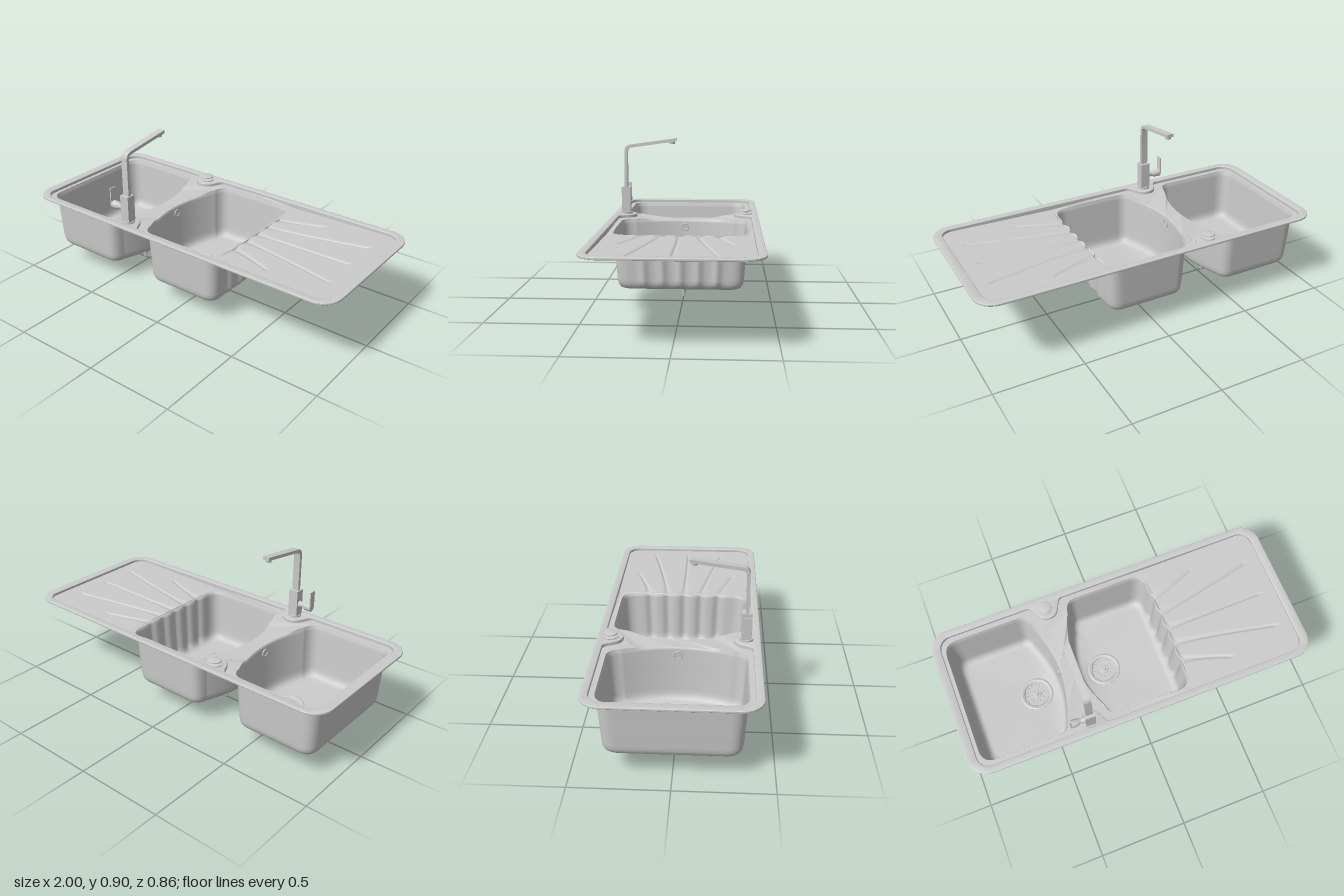
import * as THREE from 'three';
import { toCreasedNormals } from 'three/addons/utils/BufferGeometryUtils.js';

const steel = new THREE.MeshStandardMaterial({ color: 0xcccccc, side: THREE.DoubleSide });
const RIM_Y = 0.455, DECK_Y = 0.437, SPLIT = 0.3, TAP_X = -0.316;
const { smoothstep } = THREE.MathUtils;

// drainer grooves: z at the bowl, z at the tip, x of the tip
const grooves = [[0, 0, 0.88]];
for (const s of [-1, 1]) grooves.push([s * 0.1, s * 0.215, 0.88], [s * 0.205, s * 0.295, 0.57]);

// vertical flutes that carry the grooves down the bowl wall
const flute = z => grooves.reduce((sum, g) => sum + 0.014 * Math.exp(-(((z - g[0]) / 0.024) ** 2)), 0);

// height of the recessed deck: saddle between bowls, sloped drainer, grooves
function deckY(x, z) {
  let y = DECK_Y;
  y -= 0.014 * (1 - smoothstep(Math.abs(x - TAP_X), 0.06, 0.14)) * (1 - smoothstep(Math.abs(z), 0.17, 0.27));
  y -= 0.009 * smoothstep(x, 0.1, SPLIT);
  y += 0.012 * Math.max(0, (x - SPLIT) / 0.65);
  if (x > 0.26) for (const [z0, z1, tip] of grooves) {
    const t = Math.max(0, (x - 0.29) / (tip - 0.29));
    const width = 0.007 + 0.017 * Math.exp(-Math.max(0, x - 0.29) / 0.06);
    const d = (z - z0 - (z1 - z0) * Math.pow(t, 1.2)) / width;
    y -= 0.007 * Math.exp(-d * d) * (1 - smoothstep(x, tip - 0.03, tip));
  }
  return y;
}

function add(parent, name, geometry, x = 0, y = 0, z = 0) {
  const mesh = new THREE.Mesh(geometry, steel);
  mesh.name = name;
  mesh.position.set(x, y, z);
  parent.add(mesh);
  return mesh;
}

// surface through rows of [x, y, z] points
function loft(rows, closed) {
  const n = rows[0].length, index = [];
  for (let r = 0; r < rows.length - 1; r++)
    for (let i = 0; i < (closed ? n : n - 1); i++) {
      const a = r * n + i, b = r * n + (i + 1) % n;
      index.push(a, b, a + n, b, b + n, a + n);
    }
  const geo = new THREE.BufferGeometry();
  geo.setAttribute('position', new THREE.Float32BufferAttribute(rows.flat(2), 3));
  geo.setIndex(index);
  geo.computeVertexNormals();
  return geo;
}

const lathe = (pts, segs = 40) => toCreasedNormals(
  new THREE.LatheGeometry(pts.map(p => new THREE.Vector2(...p)), segs), 0.6);

function sample(path, n) {
  const pts = path.getSpacedPoints(n);
  pts.pop();
  return pts;
}

// rounded rectangle in x and z; tongues leave ledges for the tap and the knob
function roundedRect(w, h, r, tongues) {
  const s = new THREE.Shape();
  s.moveTo(w, -h + r);
  s.lineTo(w, h - r);
  s.absarc(w - r, h - r, r, 0, Math.PI / 2);
  const tongue = (dir, zs) => {
    const x = k => TAP_X + dir * k;
    s.lineTo(x(0.105), zs * h);
    s.bezierCurveTo(x(0.065), zs * h, x(0.075), zs * 0.29, x(0), zs * 0.29);
    s.bezierCurveTo(x(-0.075), zs * 0.29, x(-0.065), zs * h, x(-0.105), zs * h);
  };
  if (tongues) tongue(1, 1);
  s.absarc(-w + r, h - r, r, Math.PI / 2, Math.PI);
  s.absarc(-w + r, -h + r, r, Math.PI, Math.PI * 1.5);
  if (tongues) tongue(-1, -1);
  s.absarc(w - r, -h + r, r, Math.PI * 1.5, Math.PI * 2);
  return s;
}

// bowl opening: straight side at xs, opposite side bowed from xe out to xc
function bowlOutline(xs, xe, xc, r) {
  const H = 0.362, R = 0.07, s = Math.sign(xs - xc), p = new THREE.Path();
  p.moveTo(xs, -H + r);
  p.lineTo(xs, H - r);
  p.quadraticCurveTo(xs, H, xs - s * r, H);
  p.lineTo(xe + s * R, H);
  p.quadraticCurveTo(xe + s * 0.01, H, xe, H - R);
  p.quadraticCurveTo(2 * xc - xe, 0, xe, -H + R);
  p.quadraticCurveTo(xe + s * 0.01, -H, xe + s * R, -H);
  p.lineTo(xs - s * r, -H);
  p.quadraticCurveTo(xs, -H, xs, -H + r);
  return sample(p, 360);
}

// walls from inset and height, then a floor falling to the round drain
function bowl(outline, xs, xc, drainX, fluted) {
  const cx = (xs + xc) / 2, hx = Math.abs(xs - xc) / 2, hz = 0.362;
  const profile = [[0, null], [0.004, 0.42], [0.007, 0.41], [0.012, 0.3], [0.019, 0.18], [0.022, 0.158],
    [0.027, 0.143], [0.036, 0.131], [0.048, 0.125], [0.062, 0.123]];
  const place = (p, d, y) => {
    const bump = fluted && p.x > 0.2 ? flute(p.y) * smoothstep(y ?? 1, 0.125, 0.165) : 0;
    const x = cx + (p.x - cx) * (1 - d / hx) + bump, z = p.y * (1 - d / hz);
    return [x, y ?? deckY(x, z), z];
  };
  const rows = profile.map(([d, y]) => outline.map(p => place(p, d, y)));
  const edge = rows.at(-1);
  for (const t of [0.33, 0.66, 1]) rows.push(edge.map(([x, y, z]) => {
    const k = 0.09 / Math.hypot(x - drainX, z);
    return [x + (drainX + (x - drainX) * k - x) * t, y - 0.007 * t, z + (z * k - z) * t];
  }));
  return { geometry: loft(rows, true), top: rows[0].map(p => new THREE.Vector2(p[0], p[2])) };
}

function drain(x) {
  const g = new THREE.Group();
  g.name = 'drain';
  g.position.x = x;
  add(g, 'drainFlange', lathe([[0.097, 0.112], [0.097, 0.119], [0.088, 0.123], [0.074, 0.119], [0.07, 0.108]]));
  add(g, 'drainBody', lathe([[0.097, 0.112], [0.075, 0.112], [0.075, 0.08], [0.066, 0.07], [0.037, 0.069], [0.037, 0.062],
    [0.015, 0.059], [0.012, 0.045], [0.009, 0.02], [0.008, 0.003], [0, 0]]));
  // perforated strainer plate
  const plate = new THREE.Shape().absarc(0, 0, 0.071, 0, Math.PI * 2);
  for (let i = 0; i < 14; i++) {
    const a = i / 14 * Math.PI * 2;
    plate.holes.push(new THREE.Path().absellipse(Math.cos(a) * 0.05, Math.sin(a) * 0.05, 0.013, 0.007, 0, Math.PI * 2, false, a));
  }
  add(g, 'strainer', new THREE.ExtrudeGeometry(plate, { depth: 0.004, bevelEnabled: false, curveSegments: 12 })
    .rotateX(Math.PI / 2), 0, 0.114, 0);
  add(g, 'strainerKnob', lathe([[0.026, 0.113], [0.024, 0.118], [0.012, 0.12], [0.01, 0.128], [0, 0.129]], 24));
  return g;
}

function tap() {
  const g = new THREE.Group();
  g.name = 'tap';
  g.position.set(TAP_X, 0, 0.355);
  add(g, 'tapBase', new THREE.CylinderGeometry(0.036, 0.036, 0.012, 36), 0, 0.459, 0);
  add(g, 'tapBody', new THREE.BoxGeometry(0.056, 0.15, 0.052), 0, 0.54, 0);
  // flat spout drawn from the side
  const s = new THREE.Shape();
  s.moveTo(0.009, 0.6);
  s.lineTo(0.009, 0.822);
  s.quadraticCurveTo(0.009, 0.863, -0.03, 0.868);
  s.lineTo(-0.298, 0.905);
  s.lineTo(-0.298, 0.887);
  s.lineTo(-0.032, 0.85);
  s.quadraticCurveTo(-0.009, 0.847, -0.009, 0.822);
  s.lineTo(-0.009, 0.6);
  const spout = new THREE.ExtrudeGeometry(s, { depth: 0.04, bevelEnabled: false, curveSegments: 12 })
    .rotateY(-Math.PI / 2).translate(0.02, 0, 0);
  add(g, 'spout', toCreasedNormals(spout, 0.5));
  add(g, 'nozzle', new THREE.CylinderGeometry(0.018, 0.016, 0.018, 24), 0, 0.88, -0.274);
  // side handle with upright lever
  const hub = lathe([[0, 0], [0.02, 0], [0.014, 0.02], [0.014, 0.03], [0.022, 0.045], [0.022, 0.082], [0, 0.082]], 28);
  add(g, 'handleHub', hub.rotateZ(Math.PI / 2), -0.026, 0.533, 0);
  add(g, 'lever', new THREE.BoxGeometry(0.007, 0.1, 0.038), -0.108, 0.582, 0);
  return g;
}

export function createModel() {
  const model = new THREE.Group();
  model.name = 'sink';

  // flat outer rim around the recess
  const recess = sample(roundedRect(0.95, 0.39, 0.07, true), 500);
  const rim = roundedRect(1, 0.43, 0.11, false);
  rim.holes.push(new THREE.Path(recess));
  const rimGeo = new THREE.ExtrudeGeometry(rim, {
    depth: 0.005, bevelThickness: 0.004, bevelSize: 0.004, bevelOffset: -0.004, bevelSegments: 3, curveSegments: 20 });
  add(model, 'rim', toCreasedNormals(rimGeo.rotateX(Math.PI / 2), 0.6), 0, RIM_Y - 0.004, 0);
  add(model, 'recessWall', loft([
    recess.map(p => [p.x, RIM_Y - 0.005, p.y]), recess.map(p => [p.x, deckY(p.x, p.y), p.y])], true));

  // two bowls with drains and overflows
  const specs = [
    { name: 'rightBowl', xs: -0.93, xe: -0.425, xc: -0.362, r: 0.08, drainX: -0.53, over: -0.37 },
    { name: 'leftBowl', xs: 0.28, xe: -0.21, xc: -0.277, r: 0.075, drainX: -0.105, over: -0.269, fluted: true }];
  const openings = specs.map(b => {
    const { geometry, top } = bowl(bowlOutline(b.xs, b.xe, b.xc, b.r), b.xs, b.xc, b.drainX, b.fluted);
    add(model, b.name, geometry);
    model.add(drain(b.drainX));
    add(model, 'overflow', new THREE.CylinderGeometry(0.022, 0.022, 0.006, 28).rotateZ(Math.PI / 2), b.over, 0.382, 0);
    add(model, 'overflowRing', new THREE.TorusGeometry(0.02, 0.004, 8, 28).rotateY(Math.PI / 2),
      b.over + Math.sign(b.xs - b.xc) * 0.003, 0.382, 0);
    return new THREE.Path(top);
  });

  // deck around the bowls
  const border = recess.filter(p => p.x < SPLIT);
  const first = border[0], last = border.at(-1);
  for (let i = 0; i <= 120; i++)
    border.push(new THREE.Vector2(SPLIT, last.y + (first.y - last.y) * i / 120));
  const deckShape = new THREE.Shape(border);
  deckShape.holes.push(...openings);
  const deck = new THREE.ShapeGeometry(deckShape).rotateX(Math.PI / 2);
  const pos = deck.attributes.position;
  for (let i = 0; i < pos.count; i++) pos.setY(i, deckY(pos.getX(i), pos.getZ(i)));
  deck.computeVertexNormals();
  add(model, 'deck', deck);

  // grooved drainer, following the rounded recess corners
  const rows = [];
  for (let i = 0; i <= 80; i++) {
    const x = SPLIT + (0.95 - SPLIT) * i / 80, c = Math.max(0, x - 0.88);
    const half = 0.32 + Math.sqrt(Math.max(0, 0.07 ** 2 - c * c));
    rows.push(Array.from({ length: 261 }, (_, j) => {
      const z = (j / 130 - 1) * half;
      return [x, deckY(x, z), z];
    }));
  }
  add(model, 'drainer', loft(rows, false));

  // waste control knob on the rear ledge
  add(model, 'wasteKnob', lathe([[0, 0.45], [0.04, 0.45], [0.04, 0.46], [0.012, 0.463], [0.012, 0.472],
    [0.036, 0.474], [0.036, 0.479], [0.03, 0.481], [0, 0.481]]), -0.32, 0, -0.357);
  model.add(tap());
  return model;
}
